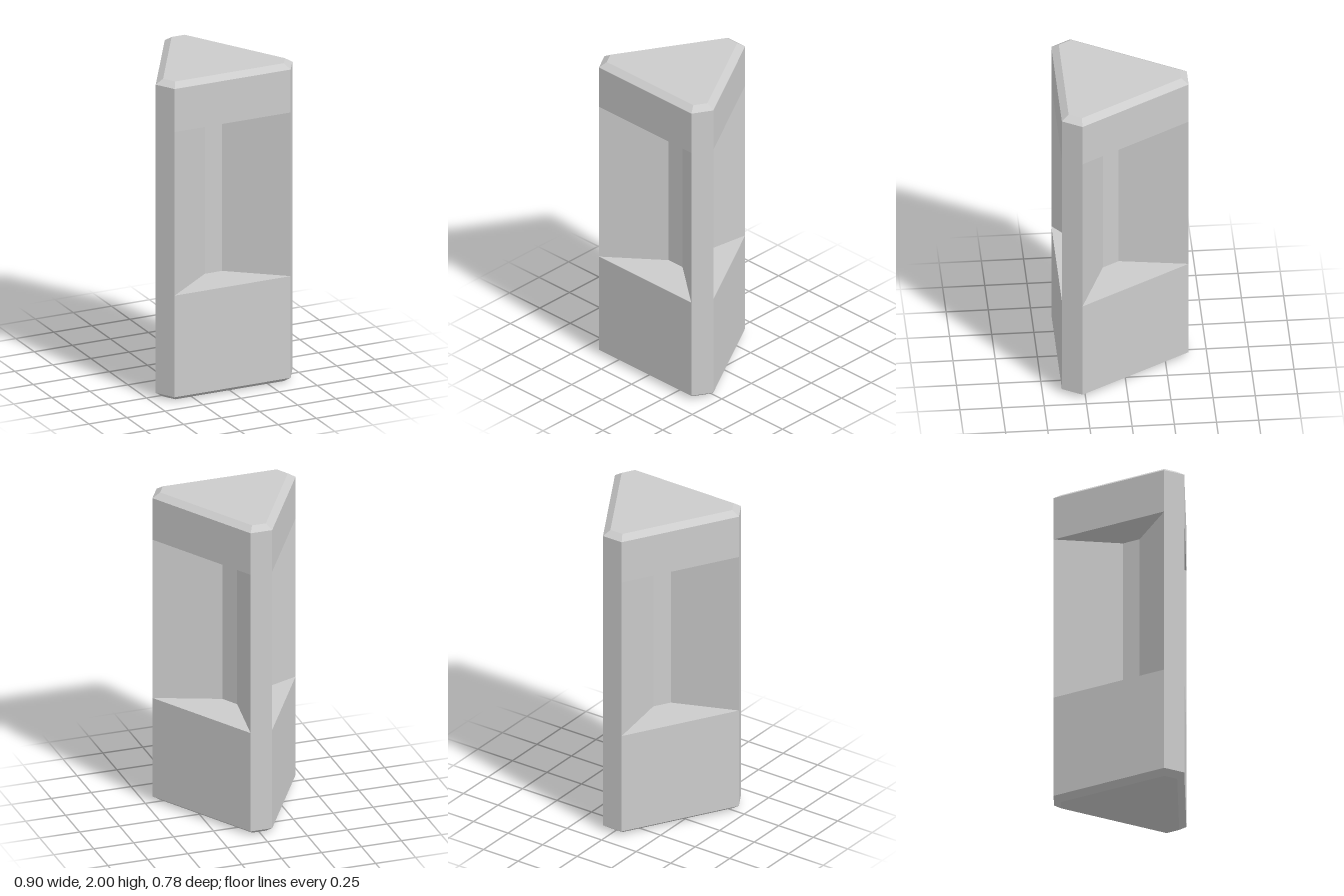
import * as THREE from 'three';

const APOTHEM = 0.298;  // centre to each broad face
const HALF = 0.381;     // half width of a broad face
const FLOOR = 0.057;    // half width of a recess floor
const CORE = 0.04;      // centre to each recess floor
const BEVEL = 0.042;
const CENTRE_Z = 0.088;

// Twelve-point ring: truncated triangle, with the middle of each broad face at its own depth
function ring(y, inset = 0, floorDepth = APOTHEM - inset) {
  const d = APOTHEM - inset;
  const h = HALF - inset * Math.tan(Math.PI / 6);
  const points = [];
  for (let k = 0; k < 3; k++) {
    const a = k * Math.PI * 2 / 3, s = Math.sin(a), c = Math.cos(a);
    for (const [u, n] of [[-h, d], [-FLOOR, floorDepth], [FLOOR, floorDepth], [h, d]]) {
      points.push(new THREE.Vector3(n * s + u * c, y, CENTRE_Z + n * c - u * s));
    }
  }
  return points;
}

// Flat-shaded skin through rings listed from bottom to top, with optional end caps
function loft(rings, capBottom, capTop) {
  const positions = [];
  const triangle = (a, b, c) => {
    const area = b.clone().sub(a).cross(c.clone().sub(a)).length();
    if (area > 1e-8) for (const p of [a, b, c]) positions.push(p.x, p.y, p.z);
  };
  for (let r = 0; r + 1 < rings.length; r++) {
    const low = rings[r], high = rings[r + 1];
    for (let i = 0; i < low.length; i++) {
      const j = (i + 1) % low.length;
      triangle(low[i], low[j], high[j]);
      triangle(low[i], high[j], high[i]);
    }
  }
  const cap = (points, up) => {
    const middle = new THREE.Vector3(0, points[0].y, CENTRE_Z);
    points.forEach((p, i) => {
      const q = points[(i + 1) % points.length];
      if (up) triangle(middle, p, q);
      else triangle(middle, q, p);
    });
  };
  if (capBottom) cap(rings[0], false);
  if (capTop) cap(rings[rings.length - 1], true);
  const geometry = new THREE.BufferGeometry();
  geometry.setAttribute('position', new THREE.Float32BufferAttribute(positions, 3));
  geometry.computeVertexNormals();
  return geometry;
}

export function createModel() {
  const group = new THREE.Group();
  group.name = 'triangularPillar';
  const material = new THREE.MeshStandardMaterial({ color: 0xcccccc, flatShading: true });
  const add = (name, geometry) => {
    const mesh = new THREE.Mesh(geometry, material);
    mesh.name = name;
    group.add(mesh);
  };

  const low = 0.67, high = 1.7; // recess limits

  // Solid base with bevelled foot and the ledges of the recesses
  add('base', loft([ring(0, BEVEL), ring(0.03), ring(low), ring(low, 0, CORE)], true, false));

  // Three corner posts joined at the middle, leaving a recess on every broad face
  add('recessedShaft', loft([ring(low, 0, CORE), ring(high, 0, CORE)], false, false));

  // Solid head with recess ceilings and bevelled top
  add('head', loft([ring(high, 0, CORE), ring(high), ring(1.97), ring(2, BEVEL)], false, true));

  return group;
}
